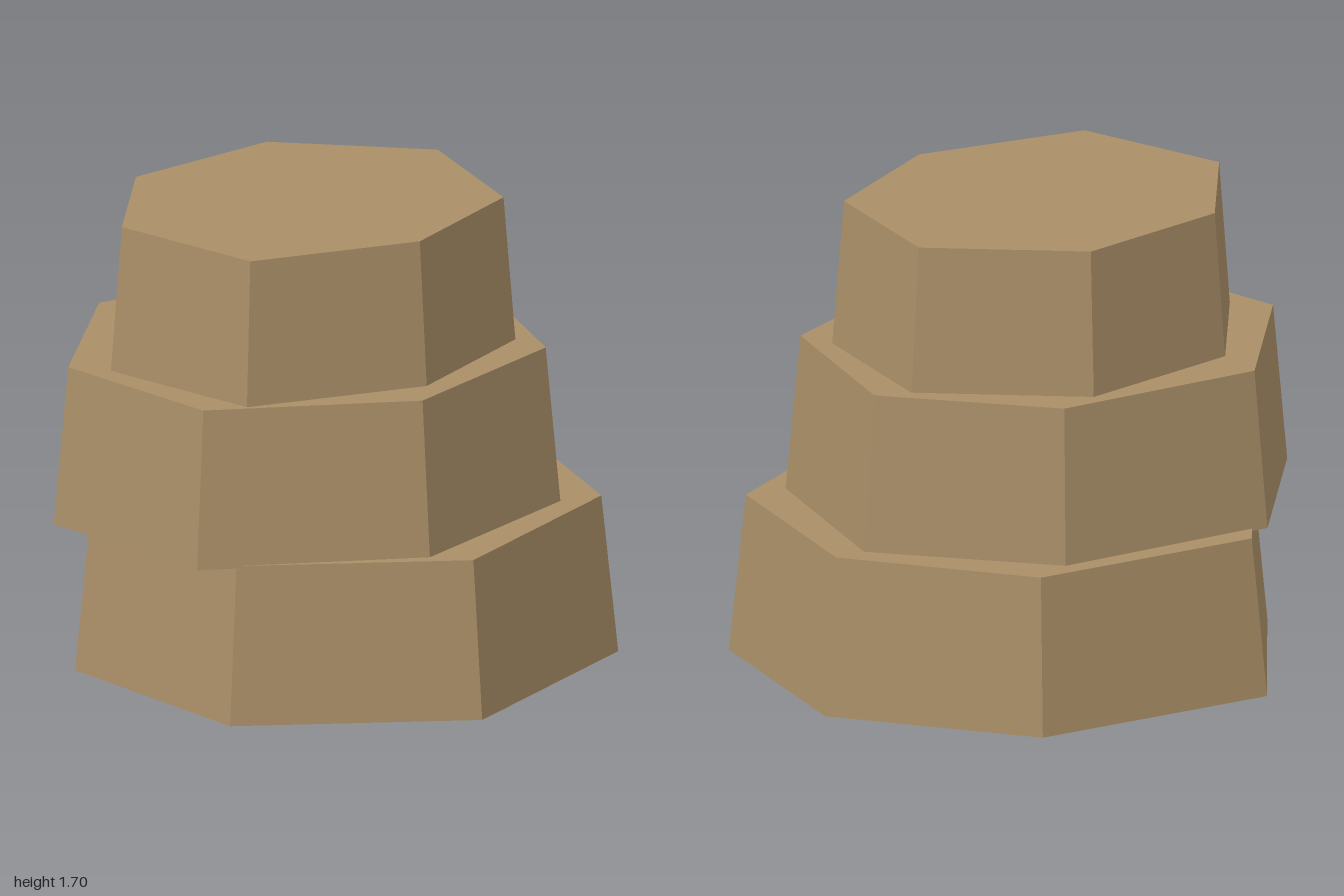
import * as THREE from 'three';

// Tapered slab: an uneven seven-sided outline shrunk towards its centre at the top
function taperedSlab(outline, y0, y1, taper) {
  const n = outline.length;
  const cx = outline.reduce((s, p) => s + p[0], 0) / n;
  const cz = outline.reduce((s, p) => s + p[1], 0) / n;
  const ring = (y, k) => outline.map(([x, z]) => [cx + (x - cx) * k, y, cz + (z - cz) * k]);
  const bottom = ring(y0, 1);
  const top = ring(y1, taper);
  const positions = [];
  const tri = (a, b, c) => positions.push(...a, ...b, ...c);
  for (let i = 0; i < n; i++) {
    const j = (i + 1) % n;
    tri(bottom[i], top[i], top[j]);
    tri(bottom[i], top[j], bottom[j]);
    tri([cx, y1, cz], top[j], top[i]);
    tri([cx, y0, cz], bottom[i], bottom[j]);
  }
  const geometry = new THREE.BufferGeometry();
  geometry.setAttribute('position', new THREE.Float32BufferAttribute(positions, 3));
  geometry.computeVertexNormals(); // unshared corners give flat faces
  return geometry;
}

export function createModel() {
  const group = new THREE.Group();
  group.name = 'steppedRock';
  const stone = new THREE.MeshStandardMaterial({ color: 0xa98e67 });
  stone.name = 'sandstone';

  // Outlines are [x, z] corners of each layer's base
  const layers = [
    {
      name: 'lowerLayer', y0: 0, y1: 0.584, taper: 0.94,
      outline: [[0.22, -0.885], [0.885, -0.44], [1, 0.31], [0.36, 0.88], [-0.52, 0.725], [-0.91, 0.03], [-0.665, -0.725]],
    },
    {
      name: 'middleLayer', y0: 0.575, y1: 1.16, taper: 0.942,
      outline: [[0.09, -0.745], [0.725, -0.39], [0.79, 0.31], [0.2, 0.76], [-0.625, 0.665], [-1, 0.08], [-0.715, -0.575]],
    },
    {
      name: 'upperLayer', y0: 1.155, y1: 1.695, taper: 0.943,
      outline: [[-0.055, -0.62], [0.545, -0.38], [0.657, 0.185], [0.235, 0.575], [-0.435, 0.632], [-0.81, 0.15], [-0.625, -0.368]],
    },
  ];

  for (const { name, outline, y0, y1, taper } of layers) {
    const mesh = new THREE.Mesh(taperedSlab(outline, y0, y1, taper), stone);
    mesh.name = name;
    group.add(mesh);
  }
  return group;
}
